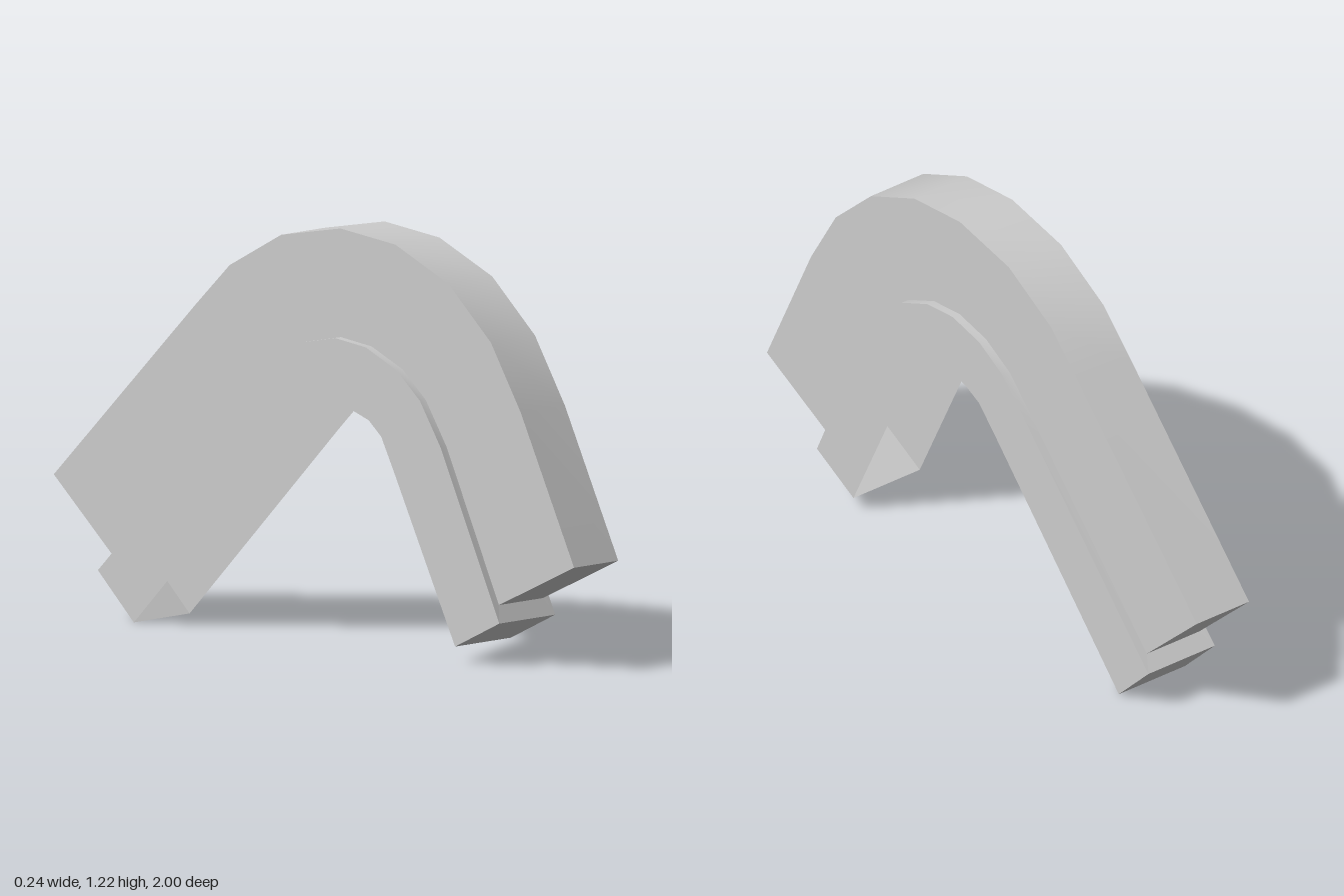
import * as THREE from 'three';

const material = new THREE.MeshStandardMaterial({ color: 0xcccccc, side: THREE.DoubleSide });
const BODY = 0.096, FLANGE = 0.1215; // half widths

// Side profiles as [z, y], running from the front foot over the bend to the back foot
const outer = [[1, 0.315], [0.795, 0.747], [0.68, 0.94], [0.516, 1.096], [0.313, 1.19],
  [0.102, 1.217], [-0.126, 1.177], [-0.324, 1.07], [-0.457, 0.941], [-1, 0.397]];
const seam = [[0.735, 0.13], [0.51, 0.62], [0.43, 0.749], [0.34, 0.83], [0.222, 0.885],
  [0.104, 0.901], [-0.02, 0.877], [-0.131, 0.818], [-0.27, 0.68], [-0.808, 0.139]];
const inner = [[0.565, 0.047], [0.329, 0.535], [0.281, 0.631], [0.233, 0.674], [0.168, 0.698],
  [0.104, 0.709], [0.04, 0.695], [-0.02, 0.668], [-0.1, 0.588], [-0.67, 0]];
// The body stops a little short of the flange at both feet
const bodySeam = [[0.711, 0.179], ...seam.slice(1, -1), [-0.768, 0.178]];

const rail = (profile, x) => profile.map(([z, y]) => [x, y, z]);

// Ruled surface between two rails, smooth along its length
function strip(a, b) {
  const position = [], index = [];
  a.forEach((p, i) => {
    position.push(...p, ...b[i]);
    if (i > 0) {
      const k = 2 * i - 2;
      index.push(k, k + 1, k + 2, k + 1, k + 3, k + 2);
    }
  });
  const geometry = new THREE.BufferGeometry();
  geometry.setAttribute('position', new THREE.Float32BufferAttribute(position, 3));
  geometry.setIndex(index);
  geometry.computeVertexNormals();
  return geometry;
}

export function createModel() {
  const model = new THREE.Group();
  model.name = 'bentChannel';
  const add = (name, a, b) => {
    const mesh = new THREE.Mesh(strip(a, b), material);
    mesh.name = name;
    model.add(mesh);
  };

  // Hollow stepped channel, open along the underside
  const rails = [
    rail(inner, -FLANGE), rail(seam, -FLANGE), rail(bodySeam, -BODY), rail(outer, -BODY),
    rail(outer, BODY), rail(bodySeam, BODY), rail(seam, FLANGE), rail(inner, FLANGE),
  ];
  const names = ['rightFlangeWall', 'rightShelf', 'rightBodyWall', 'topSurface',
    'leftBodyWall', 'leftShelf', 'leftFlangeWall'];
  names.forEach((name, i) => add(name, rails[i], rails[i + 1]));

  // End plates: flange plate, shelf and body plate at each foot
  for (const [side, i] of [['front', 0], ['back', outer.length - 1]]) {
    const levels = rails.slice(0, 4).map((r, k) => [r[i], rails[7 - k][i]]);
    ['FlangePlate', 'EndShelf', 'BodyPlate'].forEach((part, k) => {
      const pair = [levels[k], levels[k + 1]];
      if (side === 'front') pair.reverse();
      add(side + part, ...pair);
    });
  }
  return model;
}
